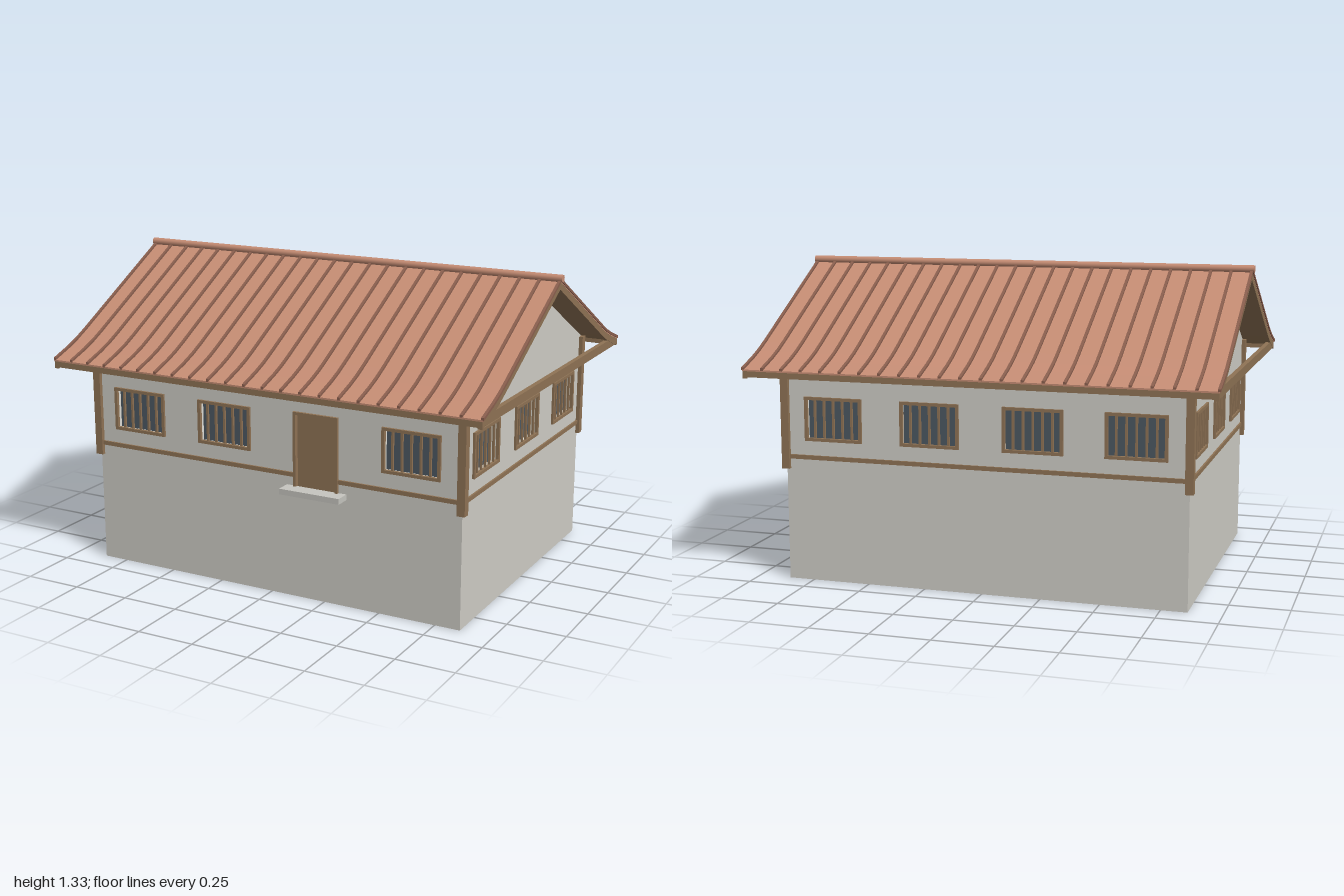
import * as THREE from 'three';

const mat = (name, color, side = THREE.FrontSide) => {
  const m = new THREE.MeshStandardMaterial({ color, side });
  m.name = name;
  return m;
};

export function createModel() {
  const house = new THREE.Group();
  house.name = 'house';

  const wallMat = mat('plaster', 0xcfcdc6, THREE.DoubleSide);
  const revealMat = mat('lightPlaster', 0xe0ded6);
  const stoneMat = mat('stone', 0xc6c5bf);
  const timber = mat('timber', 0x8f7355);
  const glass = mat('glass', 0x4c5862);
  const tile = mat('roofTile', 0xc68d74);
  const ribMat = mat('roofRib', 0x8a5f4e);

  const HX = 0.86, HZ = 0.645;            // half size of the walls
  const SILL = 0.603, HEAD = 0.79, WIN = 0.255;

  const add = (parent, name, geo, material, x = 0, y = 0, z = 0) => {
    const m = new THREE.Mesh(geo, material);
    m.name = name;
    m.position.set(x, y, z);
    parent.add(m);
    return m;
  };
  const box = (parent, name, material, w, h, d, x, y, z) =>
    add(parent, name, new THREE.BoxGeometry(w, h, d), material, x, y, z);

  // four bars around an opening
  const surround = (parent, name, material, w, h, t, d, y, z) => {
    for (const s of [-1, 1]) {
      box(parent, name, material, t, h, d, s * (w - t) / 2, y, z);
      box(parent, name, material, w - 2 * t, t, d, 0, y + s * (h - t) / 2, z);
    }
  };

  // recessed window with frame and vertical bars
  const addWindow = (parent, x) => {
    const g = new THREE.Group();
    g.name = 'window';
    g.position.x = x;
    parent.add(g);
    const h = HEAD - SILL, y = (HEAD + SILL) / 2;
    surround(g, 'windowReveal', revealMat, WIN, h, 0.006, 0.03, y, -0.016);
    surround(g, 'windowFrame', timber, WIN, h, 0.013, 0.014, y, 0.003);
    box(g, 'windowPane', glass, WIN - 0.01, h - 0.01, 0.006, 0, y, -0.03);
    for (let i = -2; i <= 2; i++) {
      box(g, 'windowBar', timber, 0.009, h - 0.024, 0.009, i * 0.041, y, 0);
    }
  };

  const hole = (x, w, y0, y1) => new THREE.Path([
    new THREE.Vector2(x - w / 2, y0), new THREE.Vector2(x - w / 2, y1),
    new THREE.Vector2(x + w / 2, y1), new THREE.Vector2(x + w / 2, y0),
  ]);

  // one facade: wall with openings, built facing +z and then turned
  const facade = (name, half, dist, turn, windows, { apex, door } = {}) => {
    const g = new THREE.Group();
    g.name = name;
    g.rotation.y = turn;
    g.position.set(Math.sin(turn) * dist, 0, Math.cos(turn) * dist);
    house.add(g);
    const outline = [[-half, 0], [half, 0], [half, 0.935]];
    if (apex) outline.push([0, apex]);
    outline.push([-half, 0.935]);
    const shape = new THREE.Shape(outline.map(p => new THREE.Vector2(...p)));
    windows.forEach(x => {
      shape.holes.push(hole(x, WIN, SILL, HEAD));
      addWindow(g, x);
    });
    let spans = [[-half, half]];
    if (door) {
      const [x, w] = door;
      shape.holes.push(hole(x, w, 0.48, 0.8));
      box(g, 'door', timber, w, 0.32, 0.012, x, 0.64, -0.014);
      for (const s of [-1, 1]) {
        box(g, 'doorJamb', timber, 0.012, 0.32, 0.024, x + s * (w / 2 - 0.006), 0.64, 0);
      }
      box(g, 'doorLintel', timber, w, 0.012, 0.024, x, 0.794, 0);
      box(g, 'doorStep', stoneMat, 0.275, 0.024, 0.065, x, 0.472, 0.0325);
      spans = [[-half, x - w / 2], [x + w / 2, half]];
    }
    add(g, 'wall', new THREE.ShapeGeometry(shape), wallMat);
    for (const [a, b] of spans) {
      box(g, 'bandBeam', timber, b - a, 0.018, 0.016, (a + b) / 2, 0.532, 0);
    }
  };

  facade('frontWall', HX, HZ, 0, [-0.645, -0.22, 0.64], { door: [0.215, 0.205] });
  facade('backWall', HX, HZ, Math.PI, [-0.645, -0.22, 0.22, 0.645]);
  for (const s of [1, -1]) {
    facade(s > 0 ? 'leftWall' : 'rightWall', HZ, HX, s * Math.PI / 2,
      [-0.43, 0, 0.43], { apex: 1.278 });
  }

  // corner posts
  for (const sx of [-1, 1]) for (const sz of [-1, 1]) {
    box(house, 'cornerPost', timber, 0.034, 0.45, 0.034, sx * HX, 0.705, sz * HZ);
  }

  // roof layers follow one cross-section with gently flared eaves
  const half = [[0, 1.3], [0.56, 0.998], [0.62, 0.968], [0.68, 0.943], [0.775, 0.91]];
  const section = [...half.slice(1).reverse().map(([z, y]) => [-z, y]), ...half];
  const roofLayer = (name, material, low, high, width, x = 0) => {
    const pts = [
      ...section.map(([z, y]) => new THREE.Vector2(z, y + low)),
      ...section.slice().reverse().map(([z, y]) => new THREE.Vector2(z, y + high)),
    ];
    const geo = new THREE.ExtrudeGeometry(new THREE.Shape(pts), { depth: width, bevelEnabled: false });
    geo.translate(0, 0, -width / 2).rotateY(-Math.PI / 2);
    add(house, name, geo, material, x);
  };
  roofLayer('roofDeck', timber, -0.018, -0.004, 1.97);
  roofLayer('roofCovering', tile, -0.004, 0.003, 1.98);
  for (let i = 0; i < 24; i++) {
    roofLayer('roofRib', ribMat, 0, 0.012, 0.012, -0.988 + i * 1.976 / 23);
  }
  const ridge = new THREE.CylinderGeometry(0.016, 0.016, 2, 12).rotateZ(Math.PI / 2);
  add(house, 'ridgeCap', ridge, tile, 0, 1.312, 0);

  // gable trim and the beams that ring the eaves
  for (const s of [-1, 1]) {
    roofLayer('gableBoard', timber, -0.034, -0.003, 0.02, s * 0.979);
    box(house, 'gableBeam', timber, 0.02, 0.038, 1.48, s * 0.978, 0.902, 0);
    box(house, 'eaveBeam', timber, 1.974, 0.026, 0.022, 0, 0.894, s * 0.762);
  }
  return house;
}
